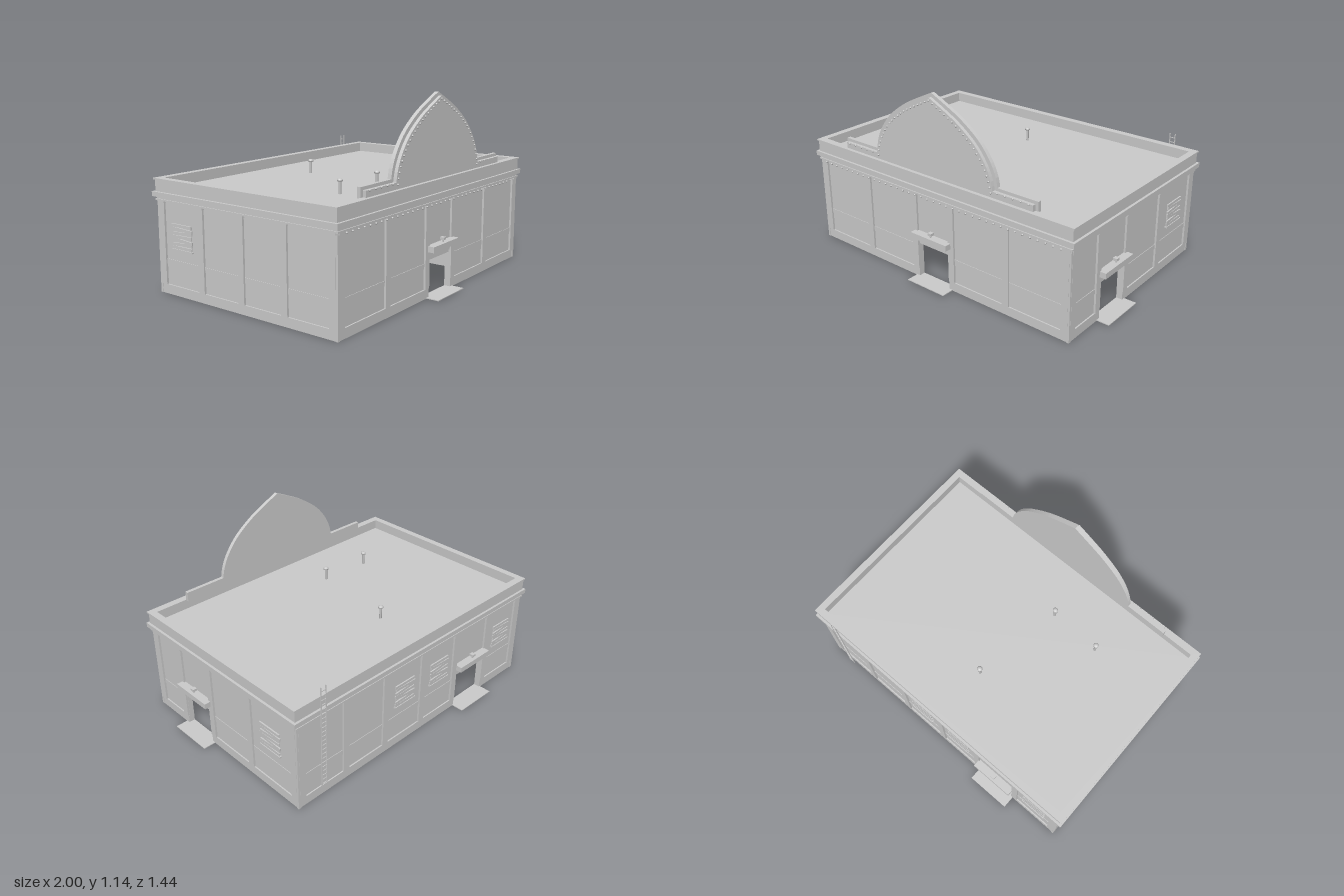
import * as THREE from 'three';

const CX = -0.027;          // building centre in x
const HX = 0.937, HZ = 0.632; // half extents of the walls
const WALL = 0.03;

export function createModel() {
  const model = new THREE.Group();
  const grey = new THREE.MeshStandardMaterial({ color: 0xcccccc });
  grey.name = 'plain grey';

  const add = (parent, name, geometry, x = 0, y = 0, z = 0) => {
    const mesh = new THREE.Mesh(geometry, grey);
    mesh.name = name;
    mesh.position.set(x, y, z);
    parent.add(mesh);
    return mesh;
  };
  // box given by its limits
  const block = (parent, name, x0, x1, y0, y1, z0, z1) =>
    add(parent, name, new THREE.BoxGeometry(x1 - x0, y1 - y0, z1 - z0),
      (x0 + x1) / 2, (y0 + y1) / 2, (z0 + z1) / 2);
  const polygon = (pts) => new THREE.Shape(pts.map(([x, y]) => new THREE.Vector2(x, y)));
  const extrude = (shape, depth) => new THREE.ExtrudeGeometry(shape, { depth, bevelEnabled: false });

  // rectangular frame running round the building
  const ring = (name, ox, oz, ix, iz, y0, y1) => {
    const rect = (a, b) => [[-a, -b], [a, -b], [a, b], [-a, b]];
    const shape = polygon(rect(ox, oz));
    shape.holes.push(polygon(rect(ix, iz)));
    const geometry = extrude(shape, y1 - y0);
    geometry.rotateX(-Math.PI / 2);
    add(model, name, geometry, CX, y0, 0);
  };

  // boarded window with crooked slats
  const tilts = [0, 0.05, -0.07, 0.03, 0.07, -0.04, 0];
  const boardedWindow = (face, u) => {
    const win = new THREE.Group();
    win.name = 'boardedWindow';
    block(win, 'windowBacking', -0.07, 0.07, 0.275, 0.415, 0, 0.004);
    block(win, 'windowSill', -0.083, 0.083, 0.268, 0.277, 0, 0.016);
    tilts.forEach((tilt, i) => {
      const slat = block(win, 'windowSlat', -0.079, 0.079, -0.0085, 0.0085, 0.004, 0.012);
      slat.position.set((i % 3 - 1) * 0.003, 0.286 + i * 0.0208, 0.008);
      slat.rotation.z = tilt;
    });
    win.position.x = u;
    face.add(win);
  };

  // rolled shutter, awning, lamp and doorstep
  const doorway = (face, [a, b]) => {
    const mid = (a + b) / 2;
    for (let i = 0; i < 4; i++)
      block(face, 'shutterSlat', a, b, 0.213 + i * 0.014, 0.225 + i * 0.014, -0.02, -0.004 + i * 0.004);
    block(face, 'awning', mid - 0.137, mid + 0.137, 0.268, 0.302, -0.005, 0.05);
    block(face, 'doorstep', mid - 0.14, mid + 0.14, 0, 0.005, -0.03, 0.086);
    block(face, 'lampStem', mid - 0.004, mid + 0.004, 0.3, 0.317, 0.022, 0.03);
    block(face, 'lampHead', mid - 0.013, mid + 0.013, 0.315, 0.33, 0.012, 0.038);
  };

  // one outer wall with its trim, built facing +z
  const facade = (name, half, dist, turn, pilasters, door, windows) => {
    const face = new THREE.Group();
    face.name = name;
    const outline = door
      ? [[-half, 0], [door[0], 0], [door[0], 0.268], [door[1], 0.268], [door[1], 0], [half, 0], [half, 0.59], [-half, 0.59]]
      : [[-half, 0], [half, 0], [half, 0.59], [-half, 0.59]];
    add(face, 'wall', extrude(polygon(outline), WALL), 0, 0, -WALL);
    const runs = door ? [[-half, door[0]], [door[1], half]] : [[-half, half]];
    for (const [a, b] of runs) {
      block(face, 'plinth', a, b, 0, 0.055, -0.005, 0.008);
      block(face, 'wallBand', a, b, 0.175, 0.205, -0.005, 0.003);
    }
    for (const u of pilasters) {
      block(face, 'pilaster', u - 0.021, u + 0.021, 0.055, 0.54, -0.005, 0.012);
      block(face, 'capital', u - 0.025, u + 0.025, 0.528, 0.542, -0.005, 0.017);
    }
    if (door) doorway(face, door);
    windows.forEach((u) => boardedWindow(face, u));
    face.rotation.y = turn;
    face.position.set(CX + Math.sin(turn) * dist, 0, Math.cos(turn) * dist);
    model.add(face);
    return face;
  };

  const front = facade('frontFacade', HX, HZ, 0,
    [-0.915, -0.525, -0.141, 0.137, 0.527, 0.915], [-0.12, 0.117], []);
  facade('rightFacade', HZ, HX, Math.PI / 2, [-0.61, -0.38, -0.1, 0.25, 0.61], [-0.357, -0.12], [0.425]);
  facade('backFacade', HX, HZ, Math.PI,
    [-0.915, -0.597, -0.287, 0.023, 0.318, 0.623, 0.915], [0.339, 0.602], [-0.13, 0.17, 0.77]);
  facade('leftFacade', HZ, HX, -Math.PI / 2, [-0.61, -0.3, 0, 0.3, 0.61], null, [-0.45]);

  // corner posts closing the pilasters
  for (const sx of [-1, 1]) for (const sz of [-1, 1]) {
    const post = block(model, 'cornerPost', -0.008, 0.008, 0, 0.54, -0.008, 0.008);
    post.position.x = CX + sx * (HX + 0.003);
    post.position.z = sz * (HZ + 0.003);
  }

  // cornice, parapet and roof
  ring('lowerMoulding', 0.956, 0.651, HX - 0.01, HZ - 0.01, 0.538, 0.548);
  ring('frieze', 0.95, 0.645, HX - 0.01, HZ - 0.01, 0.548, 0.562);
  ring('cornice', 0.972, 0.66, HX - 0.01, HZ - 0.01, 0.562, 0.59);
  ring('parapet', 0.957, 0.646, 0.9225, 0.607, 0.585, 0.657);
  ring('parapetCap', 0.965, 0.652, 0.9225, 0.607, 0.657, 0.666);
  block(model, 'roof', CX - 0.93, CX + 0.93, 0.56, 0.605, -0.62, 0.62);

  // row of bulbs below the front cornice
  const bulb = new THREE.SphereGeometry(0.006, 8, 6);
  for (let i = 0; i < 38; i++) add(front, 'corniceBulb', bulb, -0.89 + i * 1.78 / 37, 0.531, 0.02);

  // pointed arch sign, shrunk by an inset
  const SX = -0.03;
  const archPoints = (inset) => {
    const k = (0.455 - inset) / 0.455, base = 0.72 - inset, top = 1.145 - 1.25 * inset;
    return new THREE.SplineCurve([[0.455, 0.72], [0.44, 0.785], [0.4, 0.865], [0.325, 0.955],
      [0.21, 1.04], [0.1, 1.098], [0, 1.145]].map(([x, y]) =>
      new THREE.Vector2(x * k, base + (y - 0.72) / 0.425 * (top - base))));
  };
  const signShape = (inset) => {
    const right = archPoints(inset).getSpacedPoints(24).map((p) => [p.x, p.y]);
    const left = right.slice(0, -1).reverse().map(([x, y]) => [-x, y]);
    const w = 0.72 - inset, h = 0.72 - inset;
    return polygon([[-w, 0.66], [w, 0.66], [w, h], ...right, ...left, [-w, h]]);
  };
  const sign = new THREE.Group();
  sign.name = 'archSign';
  sign.position.x = SX;
  model.add(sign);
  add(sign, 'signBackPlate', extrude(signShape(0), 0.023), 0, 0, 0.587);
  add(sign, 'signFrontPanel', extrude(signShape(0.018), 0.02), 0, 0, 0.61);
  const signBulbs = archPoints(0.03).getSpacedPoints(20);
  for (const s of [-1, 1]) {
    signBulbs.forEach((p) => { if (s > 0 || p.x > 0.001) add(sign, 'signBulb', bulb, s * p.x, p.y, 0.632); });
    for (let i = 0; i < 5; i++) add(sign, 'signBulb', bulb, s * (0.47 + i * 0.051), 0.7, 0.632);
  }

  // roof vents
  const ventProfile = [[0, 0.6], [0.008, 0.6], [0.008, 0.672], [0.016, 0.677], [0.016, 0.685], [0.009, 0.691], [0, 0.691]]
    .map(([x, y]) => new THREE.Vector2(x, y));
  for (const [x, z] of [[-0.49, 0.28], [-0.165, 0.295], [-0.065, -0.28]])
    add(model, 'roofVent', new THREE.LatheGeometry(ventProfile, 12), x, 0, z);

  // ladder on the back wall
  const ladder = new THREE.Group();
  ladder.name = 'ladder';
  ladder.position.set(0.753, 0, -0.663);
  model.add(ladder);
  for (const s of [-1, 1])
    block(ladder, 'ladderRail', s * 0.017 - 0.002, s * 0.017 + 0.002, 0.08, 0.73, -0.003, 0.003);
  for (let i = 0; i < 22; i++)
    block(ladder, 'ladderRung', -0.017, 0.017, 0.093 + i * 0.029, 0.097 + i * 0.029, -0.002, 0.002);

  // inner partitions
  block(model, 'partition', 0.45, 0.47, 0, 0.565, 0.16, 0.605);
  block(model, 'partition', 0.05, 0.635, 0, 0.565, -0.13, -0.11);
  block(model, 'partition', -0.48, -0.46, 0, 0.565, -0.29, 0.367);

  return model;
}
